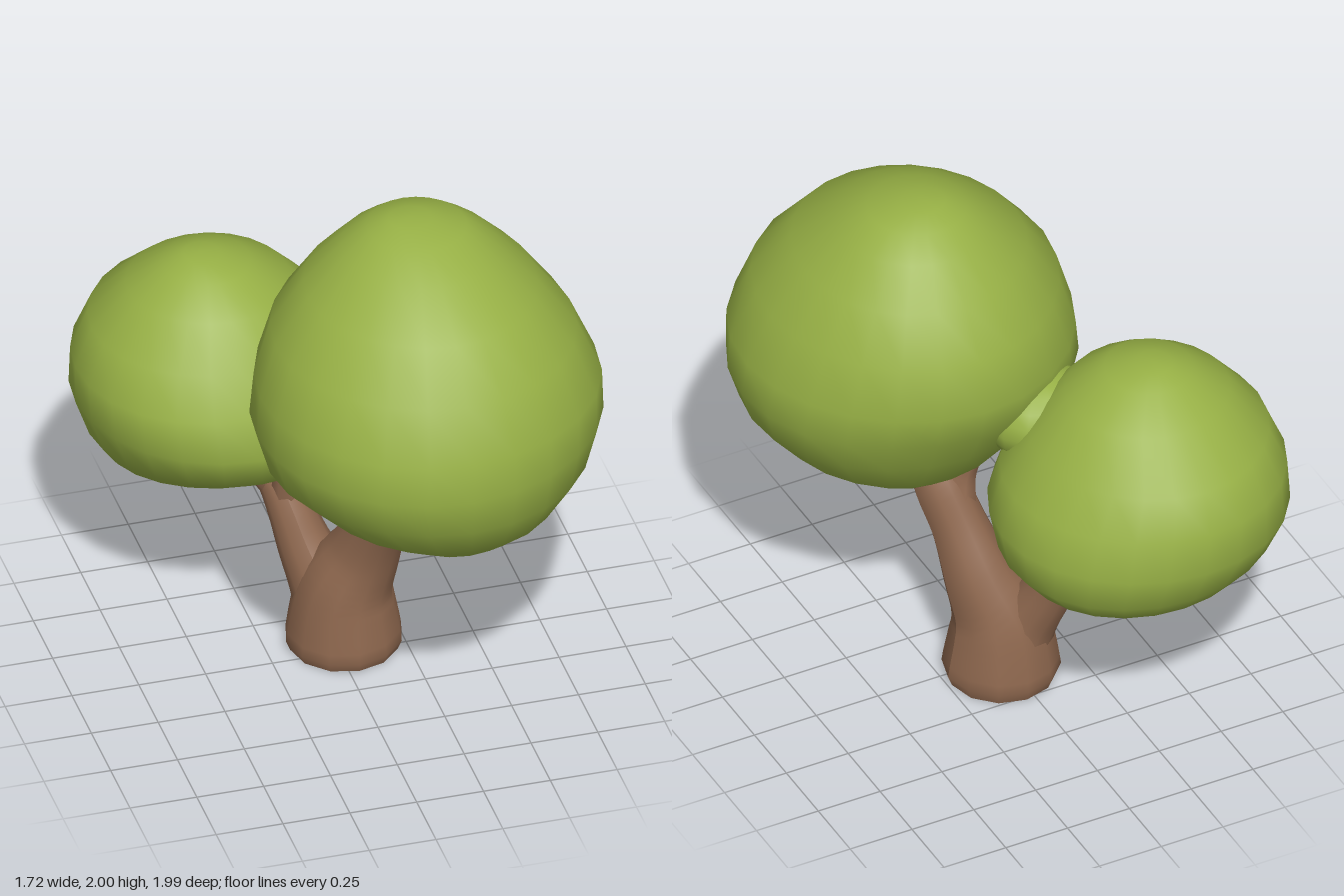
import * as THREE from 'three';

const SEG = 24;

// Leafy crown lofted from horizontal sections, top to bottom: [y, xMin, xMax, zMin, zMax]
function crownGeometry(sections, phase) {
  const pos = [], index = [];
  const last = sections.length - 1;
  sections.forEach(([y, x0, x1, z0, z1], i) => {
    for (let j = 0; j < SEG; j++) {
      const a = (j / SEG) * Math.PI * 2;
      const lump = 1 + 0.012 * Math.sin(3 * a + i * 1.3 + phase) * Math.sin((Math.PI * i) / last);
      pos.push(
        (x0 + x1) / 2 + ((x1 - x0) / 2) * lump * Math.cos(a),
        y,
        (z0 + z1) / 2 + ((z1 - z0) / 2) * lump * Math.sin(a)
      );
    }
  });
  // poles close the top and the bottom
  const mid = ([y, x0, x1, z0, z1], dy) => [(x0 + x1) / 2, y + dy, (z0 + z1) / 2];
  const top = pos.length / 3, bottom = top + 1;
  pos.push(...mid(sections[0], 0.005), ...mid(sections[last], -0.005));
  for (let j = 0; j < SEG; j++) {
    const k = (j + 1) % SEG;
    index.push(top, k, j, bottom, last * SEG + j, last * SEG + k);
    for (let i = 0; i < last; i++) {
      const u = i * SEG, l = u + SEG;
      index.push(u + j, u + k, l + j, u + k, l + k, l + j);
    }
  }
  const geo = new THREE.BufferGeometry();
  geo.setAttribute('position', new THREE.Float32BufferAttribute(pos, 3));
  geo.setIndex(index);
  geo.computeVertexNormals();
  return geo;
}

// Tapering limb swept through points given as [x, y, z, radius]
function limbGeometry(points, sides = 12) {
  const path = new THREE.CatmullRomCurve3(points.map(([x, y, z]) => new THREE.Vector3(x, y, z)));
  const radii = new THREE.CatmullRomCurve3(points.map((p, i) => new THREE.Vector3(i, p[3], 0)));
  const steps = (points.length - 1) * 4;
  const geo = new THREE.TubeGeometry(path, steps, 1, sides, false);
  const pos = geo.attributes.position, v = new THREE.Vector3();
  for (let i = 0; i <= steps; i++) {
    const t = path.getUtoTmapping(i / steps);
    const centre = path.getPoint(t), r = radii.getPoint(t).y;
    for (let j = 0; j <= sides; j++) {
      const n = i * (sides + 1) + j;
      v.fromBufferAttribute(pos, n).sub(centre).multiplyScalar(r).add(centre);
      pos.setXYZ(n, v.x, Math.max(v.y, 0), v.z);
    }
  }
  geo.computeVertexNormals();
  return geo;
}

export function createModel() {
  const leaf = new THREE.MeshStandardMaterial({ color: 0x97b045 });
  leaf.name = 'leaf green';
  const bark = new THREE.MeshStandardMaterial({ color: 0x8c664d });
  bark.name = 'bark brown';

  const tree = new THREE.Group();
  tree.name = 'tree';
  const add = (name, geo, mat) => {
    const mesh = new THREE.Mesh(geo, mat);
    mesh.name = name;
    tree.add(mesh);
    return mesh;
  };

  // Trunk and its two forked limbs
  add('trunk', limbGeometry([
    [0.035, 0, -0.065, 0.2], [0.035, 0.03, -0.065, 0.216], [0.04, 0.25, -0.055, 0.178],
    [0.095, 0.42, -0.01, 0.135], [0.135, 0.6, 0.07, 0.105], [0.17, 0.75, 0.15, 0.1], [0.19, 0.85, 0.2, 0.08],
  ]), bark);
  add('rearLimb', limbGeometry([
    [0.03, 0.1, -0.075, 0.17], [-0.03, 0.25, -0.12, 0.125], [-0.08, 0.38, -0.18, 0.1],
    [-0.115, 0.5, -0.235, 0.085], [-0.15, 0.6, -0.3, 0.075],
    [-0.21, 0.67, -0.39, 0.06], [-0.26, 0.78, -0.5, 0.05],
  ]), bark);
  const twigs = [
    ['frontBranch', [[0.15, 0.68, 0.11, 0.085], [0.2, 0.79, 0.25, 0.08], [0.25, 0.9, 0.38, 0.06]]],
    ['innerBranch', [[0.14, 0.66, 0.09, 0.08], [0.11, 0.8, 0.12, 0.065], [0.06, 0.93, 0.1, 0.05]]],
    ['rearUprightBranch', [[-0.12, 0.52, -0.245, 0.07], [-0.14, 0.66, -0.225, 0.045], [-0.14, 0.82, -0.2, 0.04]]],
    ['rearSideBranch', [[-0.14, 0.56, -0.28, 0.06], [-0.21, 0.63, -0.3, 0.045], [-0.25, 0.75, -0.32, 0.04]]],
  ];
  twigs.forEach(([name, pts]) => add(name, limbGeometry(pts, 8), bark));

  // Underside of the trunk
  const base = add('trunkBase', new THREE.CircleGeometry(0.2, 12), bark);
  base.rotation.x = Math.PI / 2;
  base.position.set(0.035, 0.001, -0.065);

  // Tall front crown
  add('largeCrown', crownGeometry([
    [1.995, 0.12, 0.28, 0.15, 0.3], [1.97, 0.04, 0.4, 0.06, 0.42], [1.9, -0.06, 0.5, -0.03, 0.56],
    [1.77, -0.2, 0.64, -0.15, 0.75], [1.6, -0.33, 0.77, -0.26, 0.9], [1.4, -0.4, 0.85, -0.3, 0.98],
    [1.25, -0.42, 0.855, -0.26, 0.99], [1.1, -0.37, 0.81, -0.18, 0.96], [0.95, -0.2, 0.69, -0.08, 0.87],
    [0.86, -0.02, 0.56, 0.03, 0.76], [0.805, 0.13, 0.45, 0.36, 0.67], [0.785, 0.2, 0.33, 0.48, 0.6],
  ], 0.5), leaf);

  // Lower rear crown
  add('smallCrown', crownGeometry([
    [1.515, -0.45, -0.32, -0.52, -0.38], [1.49, -0.53, -0.21, -0.6, -0.27], [1.4, -0.66, -0.06, -0.74, -0.15],
    [1.25, -0.79, 0.08, -0.91, -0.03], [1.1, -0.86, 0.18, -0.97, 0.05], [0.95, -0.86, 0.23, -1, 0.09],
    [0.8, -0.8, 0.21, -0.94, 0.02], [0.7, -0.73, 0.13, -0.85, -0.12], [0.6, -0.61, -0.12, -0.7, -0.36],
    [0.55, -0.5, -0.4, -0.57, -0.46],
  ], 2), leaf);

  // Foliage bridging the two crowns
  const bridge = add('crownBridge', new THREE.SphereGeometry(1, 14, 10), leaf);
  bridge.scale.set(0.22, 0.17, 0.19);
  bridge.position.set(-0.08, 1.2, -0.16);

  return tree;
}
